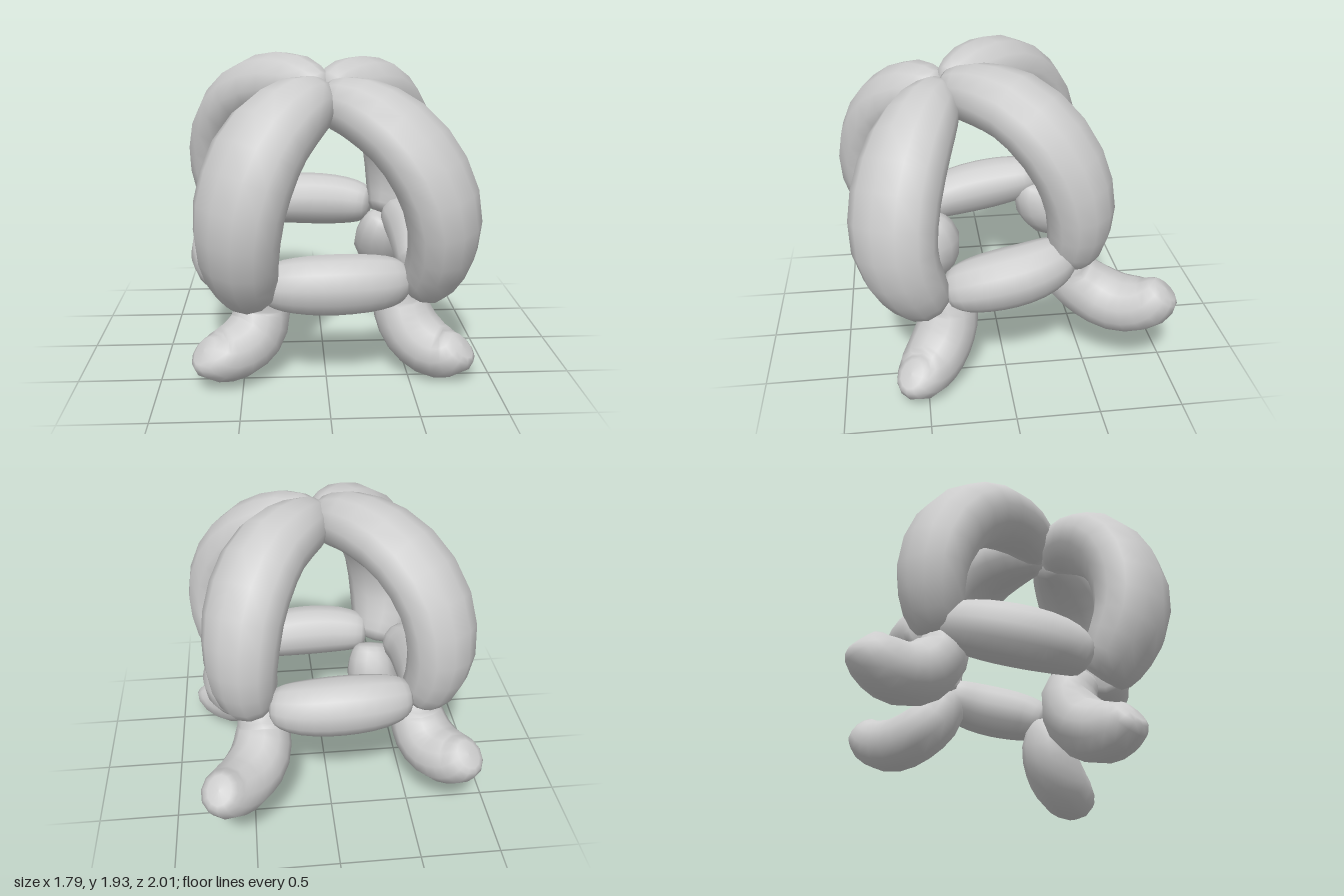
import * as THREE from 'three';

const SIDES = 12, RINGS = 16;

// Balloon swept along a curve: rp = radius in the plane of the bend, rb = radius across it.
// pp sets how blunt (small) or pointed (large) both ends are in the plane of the bend;
// across it, b0 does so for the start and b1 for the end.
function balloonGeometry(points, rp, rb, pp, b0, b1) {
  const pts = points.map(p => new THREE.Vector3(...p));
  const curve = new THREE.CatmullRomCurve3(pts, false, 'centripetal');
  const chord = pts[pts.length - 1].clone().sub(pts[0]);
  const across = chord.cross(curve.getPointAt(0.5).sub(pts[0])).normalize();
  const pos = [], index = [];
  for (let i = 0; i <= RINGS; i++) {
    const u = (1 - Math.cos(Math.PI * i / RINGS)) / 2;
    const c = curve.getPointAt(u), t = curve.getTangentAt(u);
    const n = across.clone().cross(t).normalize();
    const b = t.clone().cross(n);
    const s = i % RINGS === 0 ? 0 : Math.sin(Math.PI * u);
    const a1 = rp * Math.pow(s, pp), a2 = rb * Math.pow(s, b0 + (b1 - b0) * u);
    for (let j = 0; j < SIDES; j++) {
      const a = j / SIDES * Math.PI * 2;
      const p = c.clone().addScaledVector(n, a1 * Math.cos(a)).addScaledVector(b, a2 * Math.sin(a));
      pos.push(p.x, p.y, p.z);
      if (i < RINGS) {
        const k = i * SIDES + j, l = i * SIDES + (j + 1) % SIDES;
        index.push(k, l, k + SIDES, l, l + SIDES, k + SIDES);
      }
    }
  }
  const g = new THREE.BufferGeometry();
  g.setAttribute('position', new THREE.Float32BufferAttribute(pos, 3));
  g.setIndex(index);
  g.computeVertexNormals();
  return g;
}

export function createModel() {
  const model = new THREE.Group();
  model.name = 'balloonFrame';
  const grey = new THREE.MeshStandardMaterial({ color: 0xcccccc });
  grey.name = 'grey';
  const add = (name, points, ...shape) => {
    const mesh = new THREE.Mesh(balloonGeometry(points, ...shape), grey);
    mesh.name = name;
    model.add(mesh);
  };

  // Four arches from the shared crown down to the corners
  const arch = (name, points, rp, rb) => add(name, points, rp, rb, 0.15, 0.37, 0.2);
  arch('frontLeftArch', [[0, 1.66, 0.31], [0.2, 1.64, 0.43], [0.44, 1.49, 0.56],
    [0.61, 1.23, 0.645], [0.665, 0.98, 0.65], [0.64, 0.75, 0.57], [0.56, 0.57, 0.48]], 0.205, 0.275);
  arch('frontRightArch', [[0, 1.66, 0.31], [-0.17, 1.64, 0.49], [-0.36, 1.48, 0.65],
    [-0.48, 1.2, 0.75], [-0.51, 0.94, 0.745], [-0.49, 0.73, 0.66], [-0.43, 0.57, 0.56]], 0.215, 0.285);
  arch('backLeftArch', [[0, 1.68, 0.31], [0.15, 1.72, 0.12], [0.34, 1.68, -0.1],
    [0.48, 1.47, -0.31], [0.53, 1.18, -0.42], [0.52, 0.95, -0.42], [0.47, 0.78, -0.37]], 0.205, 0.255);
  arch('backRightArch', [[0, 1.68, 0.31], [-0.2, 1.75, 0.1], [-0.43, 1.68, -0.13],
    [-0.6, 1.47, -0.32], [-0.66, 1.19, -0.42], [-0.63, 0.95, -0.42], [-0.55, 0.78, -0.38]], 0.205, 0.255);

  // Four bars forming the base ring
  const bar = (name, points) => add(name, points, 0.18, 0.18, 0.2, 0.2, 0.2);
  bar('frontBar', [[0.46, 0.64, 0.51], [0.28, 0.65, 0.59], [-0.1, 0.65, 0.62], [-0.37, 0.64, 0.58]]);
  bar('backBar', [[0.36, 0.84, -0.46], [0.17, 0.855, -0.52], [-0.2, 0.87, -0.53], [-0.47, 0.855, -0.47]]);
  bar('leftBar', [[0.55, 0.65, 0.35], [0.6, 0.7, 0.2], [0.6, 0.77, -0.13], [0.52, 0.83, -0.37]]);
  bar('rightBar', [[-0.55, 0.65, 0.46], [-0.64, 0.69, 0.26], [-0.645, 0.76, -0.08], [-0.58, 0.83, -0.37]]);

  // Four bent legs with upturned tips
  const leg = (name, points) => add(name, points, 0.18, 0.19, 0.2, 0.22, 0.28);
  leg('frontLeftLeg', [[0.46, 0.62, 0.38], [0.46, 0.45, 0.34], [0.53, 0.27, 0.4],
    [0.65, 0.18, 0.49], [0.76, 0.19, 0.56], [0.81, 0.25, 0.6]]);
  leg('frontRightLeg', [[-0.39, 0.62, 0.46], [-0.38, 0.46, 0.38], [-0.42, 0.3, 0.43],
    [-0.53, 0.22, 0.53], [-0.66, 0.22, 0.62], [-0.72, 0.28, 0.67]]);
  leg('backLeftLeg', [[0.46, 0.8, -0.36], [0.42, 0.64, -0.39], [0.45, 0.51, -0.54],
    [0.55, 0.47, -0.7], [0.65, 0.53, -0.85], [0.69, 0.64, -0.94]]);
  leg('backRightLeg', [[-0.55, 0.8, -0.36], [-0.55, 0.66, -0.36], [-0.59, 0.53, -0.46],
    [-0.66, 0.49, -0.58], [-0.75, 0.54, -0.71], [-0.79, 0.63, -0.78]]);

  // Rest the model on the ground
  const box = new THREE.Box3().setFromObject(model);
  model.children.forEach(m => m.geometry.translate(0, -box.min.y, 0));
  return model;
}
